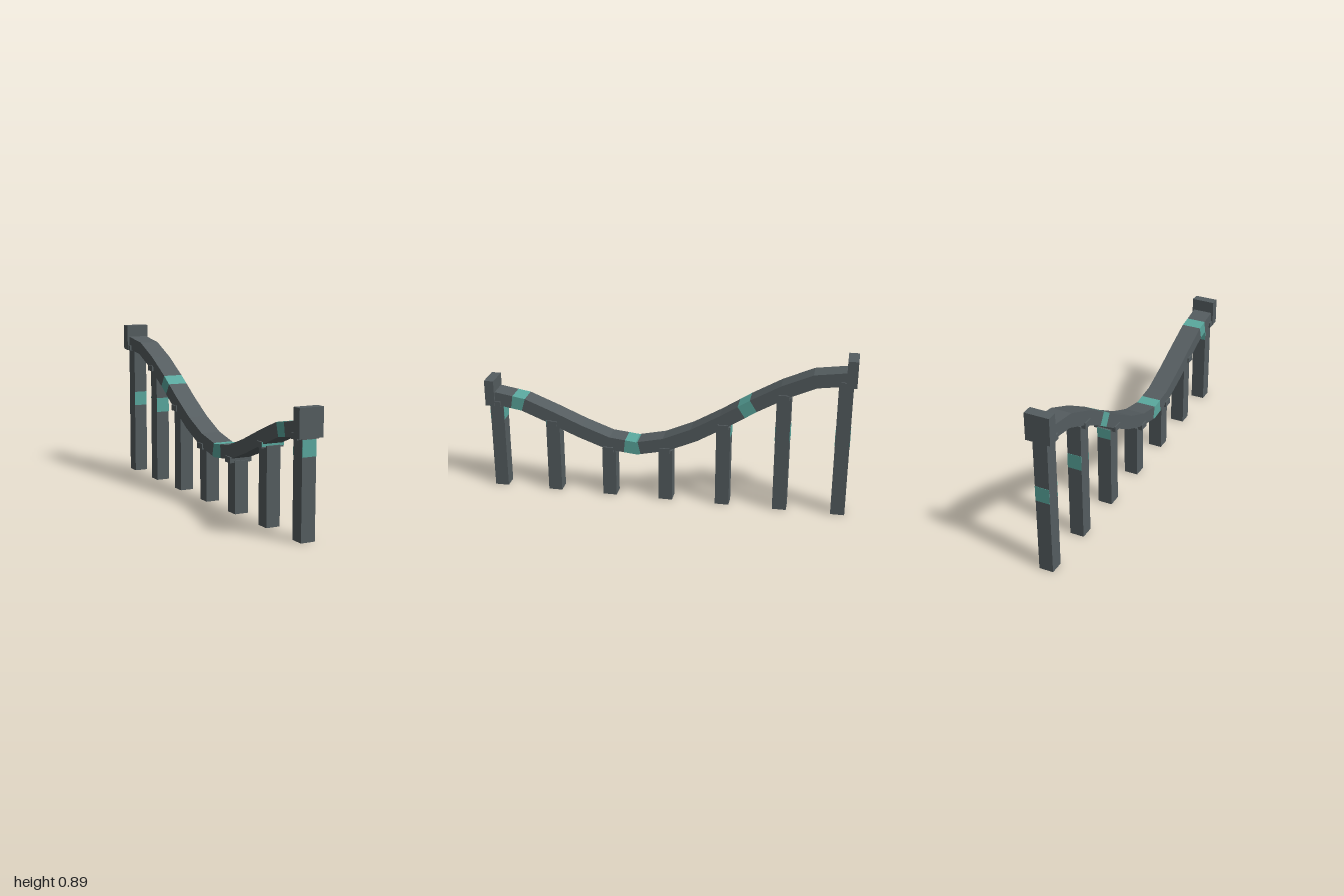
import * as THREE from 'three';

const slate = new THREE.MeshStandardMaterial({ color: 0x555d60 });
slate.name = 'slate grey';
const teal = new THREE.MeshStandardMaterial({ color: 0x5aa89e });
teal.name = 'teal';

// Centre line of the beam as [z, y], back to front
const path = [
  [-0.98, 0.793], [-0.945, 0.79], [-0.7875, 0.768], [-0.63, 0.697], [-0.4725, 0.606],
  [-0.315, 0.503], [-0.1575, 0.41], [0, 0.34], [0.1575, 0.305], [0.315, 0.322],
  [0.4725, 0.38], [0.63, 0.448], [0.7875, 0.512], [0.945, 0.538], [0.98, 0.54],
];
const bands = [[-0.4725, -0.41], [0.142, 0.224], [0.7875, 0.853]];

function heightAt(z) {
  let i = 0;
  while (i < path.length - 2 && z > path[i + 1][0]) i++;
  const [z0, y0] = path[i], [z1, y1] = path[i + 1];
  return y0 + (y1 - y0) * (z - z0) / (z1 - z0);
}

// Rectangular beam following the centre line between two depths
function beam(name, zStart, zEnd, material) {
  const stops = [zStart, ...path.map(p => p[0]).filter(z => z > zStart + 0.001 && z < zEnd - 0.001), zEnd];
  const n = stops.length - 1;
  const geo = new THREE.BoxGeometry(0.11, 0.073, 1, 1, 1, n);
  const pos = geo.attributes.position;
  for (let i = 0; i < pos.count; i++) {
    const z = stops[Math.round((pos.getZ(i) + 0.5) * n)];
    const slope = (heightAt(z + 0.001) - heightAt(z - 0.001)) / 0.002;
    const len = Math.hypot(1, slope);
    const off = pos.getY(i);
    pos.setY(i, heightAt(z) + off / len);
    pos.setZ(i, z - off * slope / len);
  }
  const flat = geo.toNonIndexed();
  flat.computeVertexNormals();
  const mesh = new THREE.Mesh(flat, material);
  mesh.name = name;
  return mesh;
}

function box(name, w, h, d, x, y, z, material = slate) {
  const mesh = new THREE.Mesh(new THREE.BoxGeometry(w, h, d), material);
  mesh.position.set(x, y, z);
  mesh.name = name;
  return mesh;
}

export function createModel() {
  const model = new THREE.Group();
  model.name = 'supportedRail';

  // Curved beam with teal bands
  const rail = new THREE.Group();
  rail.name = 'rail';
  let from = -0.98;
  for (const [a, b] of bands) {
    rail.add(beam('railSection', from, a, slate), beam('railBand', a, b, teal));
    from = b;
  }
  rail.add(beam('railSection', from, 0.98, slate));
  model.add(rail);

  // End blocks
  model.add(box('frontBlock', 0.132, 0.145, 0.052, 0, 0.57, 0.974));
  model.add(box('backBlock', 0.132, 0.145, 0.055, 0, 0.822, -0.9725));

  // Posts with saddles; the tall ones carry painted bands on front and back
  const tops = [0.5, 0.41, 0.28, 0.3, 0.465, 0.66, 0.755];
  tops.forEach((top, i) => {
    const z = 0.945 - i * 0.315;
    const support = new THREE.Group();
    support.name = 'support';
    support.add(box('post', 0.077, top, 0.076, 0, top / 2, z));
    support.add(box('saddle', 0.125, 0.031, 0.056, 0, top + 0.005, z));
    if (i === 1) support.add(box('saddleBand', 0.125, 0.024, 0.002, 0, 0.418, z + 0.0285, teal));
    if (top > 0.45) {
      const high = Math.min(top, 0.49), low = 0.408;
      for (const side of [1, -1]) {
        if (i === 4 && side === 1) continue;
        support.add(box('postBand', 0.077, high - low, 0.002, 0, (high + low) / 2, z + side * 0.0385, teal));
      }
    }
    model.add(support);
  });

  return model;
}
